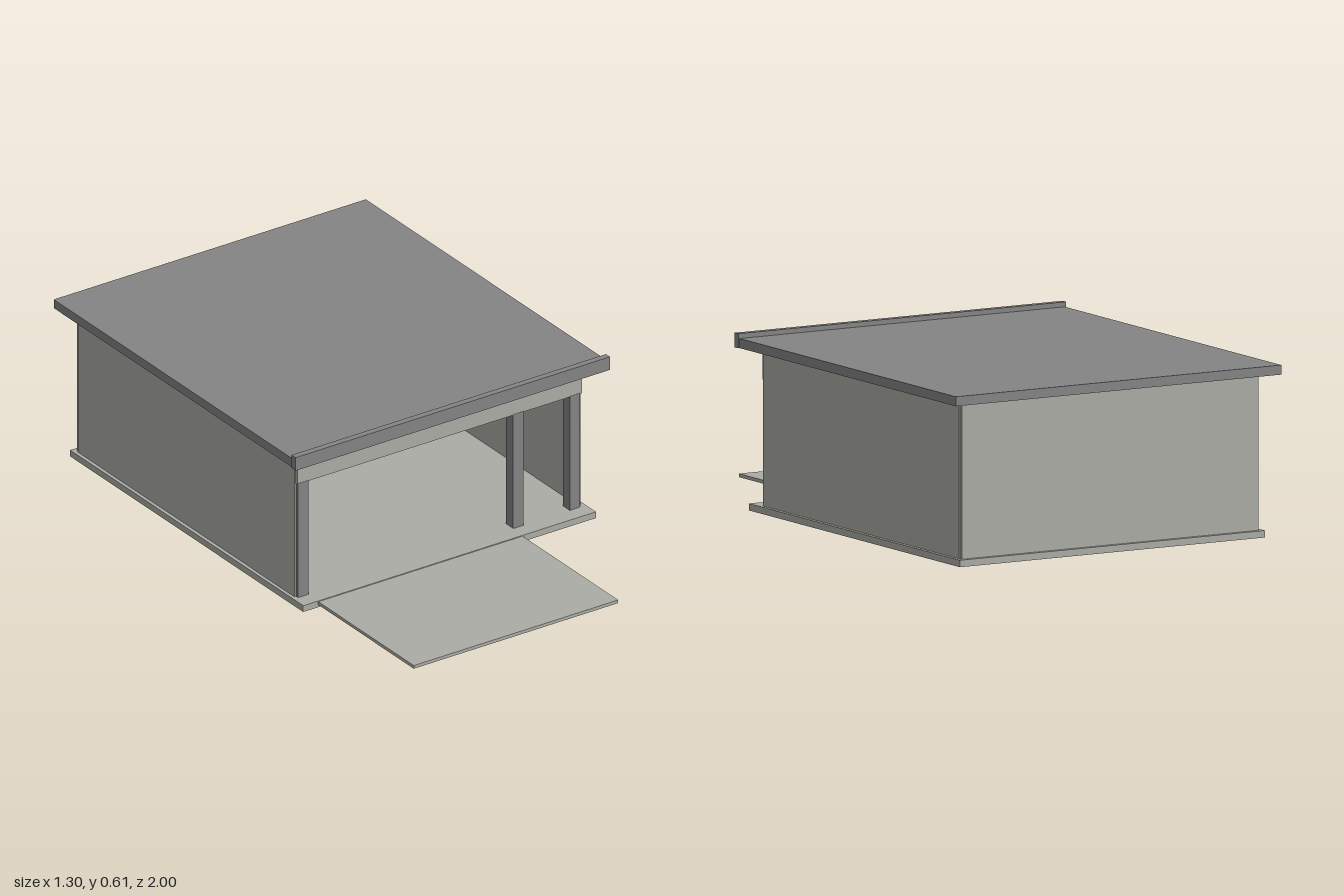
import * as THREE from 'three';

const concrete = new THREE.MeshStandardMaterial({ name: 'paleConcrete', color: 0xacaca6 });
const metal = new THREE.MeshStandardMaterial({ name: 'darkGrey', color: 0x848484 });

// Box given by its extents along each axis
function block(name, material, [x0, x1], [y0, y1], [z0, z1]) {
  const mesh = new THREE.Mesh(new THREE.BoxGeometry(x1 - x0, y1 - y0, z1 - z0), material);
  mesh.position.set((x0 + x1) / 2, (y0 + y1) / 2, (z0 + z1) / 2);
  mesh.name = name;
  return mesh;
}

export function createModel() {
  const group = new THREE.Group();
  group.name = 'garage';
  const floor = 0.024, eaves = 0.563, lintel = 0.458;

  // Ground slab and driveway
  group.add(block('floorSlab', concrete, [-0.605, 0.605], [0, floor], [-0.96, 0.43]));
  group.add(block('driveway', concrete, [-0.543, 0.302], [0.009, 0.021], [0.43, 1]));

  // Thin walls: two sides, back, and a header over the open front
  for (const side of [-1, 1]) {
    const xs = [side * 0.58, side * 0.592].sort((a, b) => a - b);
    group.add(block(side < 0 ? 'rightWall' : 'leftWall', concrete, xs, [floor, eaves], [-0.933, 0.358]));
  }
  group.add(block('backWall', concrete, [-0.588, 0.588], [floor, eaves], [-0.945, -0.933]));
  group.add(block('frontHeader', concrete, [-0.588, 0.588], [lintel, eaves], [0.358, 0.37]));

  // Posts framing the vehicle opening and the side doorway
  for (const x of [-0.564, 0.325, 0.559]) {
    group.add(block('frontPost', metal, [x - 0.021, x + 0.021], [floor, lintel + 0.003], [0.329, 0.371]));
  }

  // Flat roof with a raised fascia at the front
  group.add(block('roof', metal, [-0.645, 0.645], [eaves, 0.596], [-1, 0.425]));
  group.add(block('frontFascia', metal, [-0.65, 0.65], [eaves, 0.613], [0.425, 0.449]));
  return group;
}
